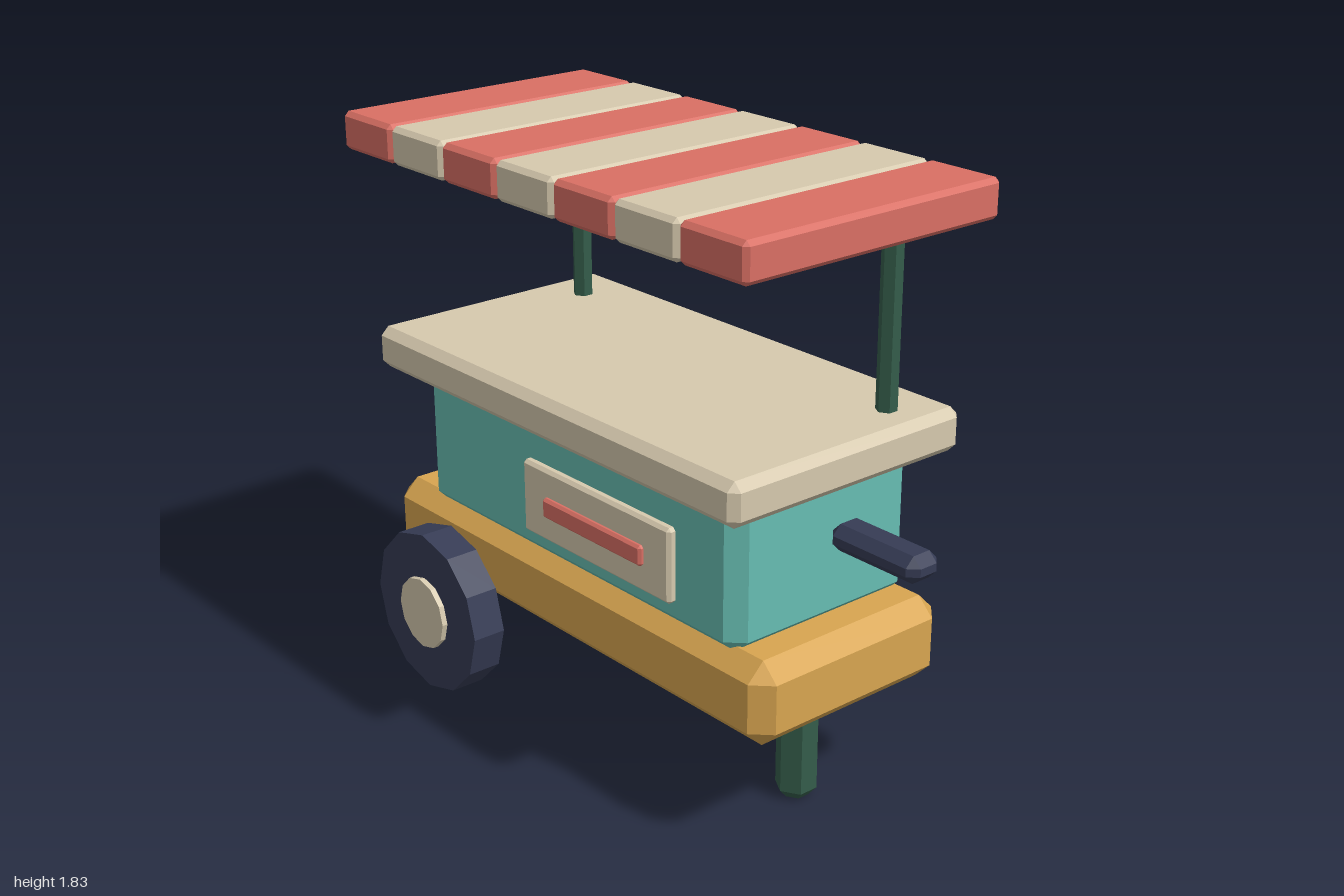
import * as THREE from 'three';
import { ConvexGeometry } from 'three/addons/geometries/ConvexGeometry.js';

const paint = (name, color) => {
  const m = new THREE.MeshStandardMaterial({ color });
  m.name = name;
  return m;
};

// Box given by its limits, with every edge cut by a flat chamfer c
function chamferBox([x0, x1], [y0, y1], [z0, z1], c) {
  const h = [(x1 - x0) / 2, (y1 - y0) / 2, (z1 - z0) / 2];
  const points = [];
  for (const sx of [-1, 1]) for (const sy of [-1, 1]) for (const sz of [-1, 1]) {
    for (let full = 0; full < 3; full++) {
      const d = h.map((v, i) => (i === full ? v : v - c));
      points.push(new THREE.Vector3(sx * d[0], sy * d[1], sz * d[2]));
    }
  }
  return new ConvexGeometry(points).translate((x0 + x1) / 2, (y0 + y1) / 2, (z0 + z1) / 2);
}

// Upright faceted prism from y0 to y1
function prism(rTop, rBottom, y0, y1, sides) {
  const g = new THREE.CylinderGeometry(rTop, rBottom, y1 - y0, sides).toNonIndexed();
  g.computeVertexNormals();
  return g.translate(0, (y0 + y1) / 2, 0);
}

export function createModel() {
  const red = paint('red', 0xd96f64);
  const cream = paint('cream', 0xd6c9ae);
  const teal = paint('teal', 0x67bdb2);
  const ochre = paint('ochre', 0xd8a550);
  const navy = paint('navy', 0x363c55);
  const green = paint('green', 0x345c4a);

  const cart = new THREE.Group();
  cart.name = 'foodCart';
  const add = (name, geometry, material, parent = cart) => {
    const mesh = new THREE.Mesh(geometry, material);
    mesh.name = name;
    parent.add(mesh);
    return mesh;
  };

  // Deck, cabinet and counter
  add('deck', chamferBox([-1, 0.755], [0.355, 0.615], [-0.355, 0.36], 0.055), ochre);
  add('cabinet', chamferBox([-0.82, 0.625], [0.585, 1.04], [-0.337, 0.34], 0.048), teal);
  add('counter', chamferBox([-0.935, 0.715], [1.03, 1.163], [-0.43, 0.432], 0.026), cream);

  // Front drawer with its pull
  add('drawerFront', chamferBox([-0.285, 0.38], [0.675, 0.905], [0.33, 0.365], 0.01), cream);
  add('drawerPull', chamferBox([-0.175, 0.272], [0.757, 0.82], [0.35, 0.38], 0.008), red);

  // Push handle
  add('pushHandle', chamferBox([0.675, 1], [0.857, 0.937], [-0.058, 0.058], 0.028), navy);

  // Support leg with a tapered foot
  const leg = new THREE.Group();
  leg.name = 'supportLeg';
  leg.position.set(0.525, 0, 0);
  cart.add(leg);
  add('legShaft', prism(0.063, 0.063, 0.028, 0.38, 6), green, leg);
  add('legFoot', prism(0.063, 0.038, 0, 0.028, 6), green, leg);

  // Wheels, one on each side
  for (const side of [1, -1]) {
    const wheel = new THREE.Group();
    wheel.name = side > 0 ? 'frontWheel' : 'backWheel';
    wheel.position.set(-0.67, 0.29, 0);
    wheel.rotation.x = side * Math.PI / 2;
    cart.add(wheel);
    add('tyre', prism(0.264, 0.264, 0.367, 0.477, 12), navy, wheel);
    add('hub', prism(0.117, 0.117, 0.45, 0.495, 12), cream, wheel);
  }

  // Canopy posts
  for (const x of [-0.77, 0.59]) {
    add('canopyPost', prism(0.032, 0.032, 1.14, 1.73, 6), green).position.set(x, 0, -0.251);
  }

  // Striped canopy of seven slats
  const pitch = 0.2555;
  for (let i = 0; i < 7; i++) {
    const x = -0.995 + i * pitch;
    const slat = chamferBox([x, x + 0.253], [1.716, 1.832], [-0.447, 0.47], 0.014);
    add('canopySlat', slat, i % 2 ? cream : red);
  }

  return cart;
}
